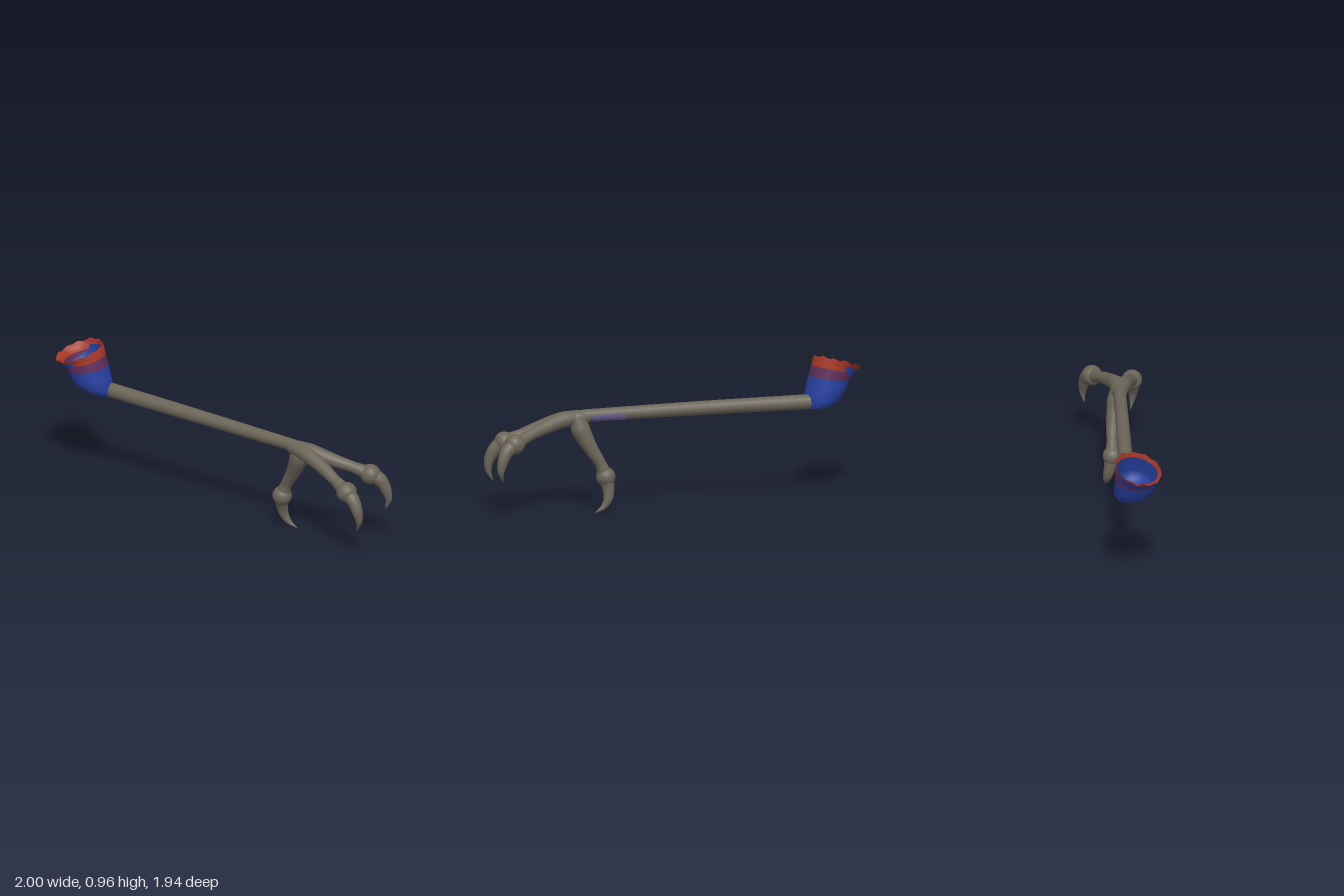
import * as THREE from 'three';

const paint = (name, color, side = THREE.FrontSide) => {
  const m = new THREE.MeshStandardMaterial({ color, side });
  m.name = name;
  return m;
};
const V = (p) => new THREE.Vector3(p[0], p[1], p[2]);

// Tube through [x, y, z, radius] points, with the radius varying along the path
function taperedTube(points, steps = 28, sides = 20) {
  const curve = new THREE.CatmullRomCurve3(points.map(V));
  const geo = new THREE.TubeGeometry(curve, steps, 1, sides);
  const pos = geo.attributes.position, p = new THREE.Vector3();
  for (let i = 0; i <= steps; i++) {
    const c = curve.getPointAt(i / steps);
    const t = curve.getUtoTmapping(i / steps) * (points.length - 1);
    const k = Math.min(Math.floor(t), points.length - 2);
    const r = THREE.MathUtils.lerp(points[k][3], points[k + 1][3], t - k);
    for (let j = 0; j <= sides; j++) {
      const n = i * (sides + 1) + j;
      p.fromBufferAttribute(pos, n).sub(c).multiplyScalar(r).add(c);
      pos.setXYZ(n, p.x, p.y, p.z);
    }
  }
  geo.computeVertexNormals();
  // Join the normals along the lengthwise seam
  const nor = geo.attributes.normal, q = new THREE.Vector3();
  for (let i = 0; i <= steps; i++) {
    const a = i * (sides + 1), b = a + sides;
    p.fromBufferAttribute(nor, a).add(q.fromBufferAttribute(nor, b)).normalize();
    nor.setXYZ(a, p.x, p.y, p.z);
    nor.setXYZ(b, p.x, p.y, p.z);
  }
  return geo;
}

// Skin over tilted rings: [x, y, z, radius, slope along x, raggedness]
function ringLoft(rings, sides = 48) {
  const pos = [], index = [];
  rings.forEach(([x, y, z, r, slope, rag = 0], i) => {
    for (let j = 0; j < sides; j++) {
      const a = (j / sides) * Math.PI * 2;
      const dx = Math.cos(a) * r, dz = Math.sin(a) * r;
      const jag = rag * (Math.sin(a * 12) + 0.5 * Math.sin(a * 7 + 1));
      pos.push(x + dx, y + dx * slope + dz * 0.06 + jag, z + dz);
      if (i < rings.length - 1) {
        const k = i * sides + j, l = i * sides + ((j + 1) % sides);
        index.push(k, k + sides, l, l, k + sides, l + sides);
      }
    }
  });
  const geo = new THREE.BufferGeometry();
  geo.setAttribute('position', new THREE.Float32BufferAttribute(pos, 3));
  geo.setIndex(index);
  geo.computeVertexNormals();
  return geo;
}

export function createModel() {
  const group = new THREE.Group();
  const skin = paint('scaly grey brown', 0x6b6558);
  const blue = paint('blue cuff', 0x2640a0, THREE.DoubleSide);
  const plum = paint('plum cuff', 0x5c2c58, THREE.DoubleSide);
  const red = paint('red cuff', 0xa63626, THREE.DoubleSide);
  const lilac = paint('lilac mark', 0x6a5c96, THREE.DoubleSide);
  const add = (name, geo, mat, parent = group) => {
    const mesh = new THREE.Mesh(geo, mat);
    mesh.name = name;
    parent.add(mesh);
    return mesh;
  };

  // Shin
  const back = [-0.69, 0.65, -0.745, 0.05], front = [0.4, 0.64, 0.42, 0.041];
  add('shin', taperedTube([back, [-0.15, 0.647, -0.165, 0.047], front]), skin);

  // Ankle where the toes meet
  const ankle = add('ankle', new THREE.SphereGeometry(1, 28, 20), skin);
  ankle.scale.set(0.056, 0.052, 0.1);
  ankle.position.set(0.42, 0.627, 0.44);
  ankle.rotation.y = Math.PI / 4;

  // Toes: a fleshy digit, a round knuckle and a curved claw
  const toes = [
    { name: 'leftToe', knuckle: [0.86, 0.51, 0.67, 0.068],
      digit: [[0.38, 0.635, 0.4, 0.042], [0.49, 0.625, 0.495, 0.053], [0.62, 0.588, 0.57, 0.045],
        [0.75, 0.55, 0.625, 0.037], [0.86, 0.51, 0.67, 0.05]],
      claw: [[0.86, 0.51, 0.67, 0.055], [0.925, 0.47, 0.692, 0.045], [0.962, 0.4, 0.705, 0.035],
        [0.975, 0.335, 0.71, 0.022], [0.957, 0.27, 0.705, 0.002]] },
    { name: 'rightToe', knuckle: [0.67, 0.47, 0.855, 0.068],
      digit: [[0.38, 0.635, 0.4, 0.042], [0.465, 0.615, 0.53, 0.053], [0.54, 0.572, 0.645, 0.045],
        [0.61, 0.518, 0.76, 0.037], [0.67, 0.47, 0.855, 0.05]],
      claw: [[0.67, 0.47, 0.855, 0.055], [0.708, 0.42, 0.907, 0.045], [0.73, 0.35, 0.936, 0.035],
        [0.739, 0.285, 0.938, 0.022], [0.73, 0.215, 0.91, 0.002]] },
    { name: 'backToe', knuckle: [0.335, 0.23, 0.275, 0.065],
      digit: [[0.43, 0.635, 0.44, 0.05], [0.423, 0.55, 0.415, 0.064], [0.395, 0.42, 0.35, 0.046],
        [0.36, 0.32, 0.3, 0.037], [0.335, 0.23, 0.275, 0.05]],
      claw: [[0.335, 0.23, 0.275, 0.055], [0.338, 0.155, 0.254, 0.04], [0.352, 0.09, 0.247, 0.032],
        [0.38, 0.038, 0.264, 0.02], [0.43, 0.002, 0.3, 0.002]] },
  ];
  for (const { name, knuckle, digit, claw } of toes) {
    const toe = new THREE.Group();
    toe.name = name;
    group.add(toe);
    add('digit', taperedTube(digit), skin, toe);
    add('claw', taperedTube(claw), skin, toe);
    add('knuckle', new THREE.SphereGeometry(knuckle[3], 24, 18), skin, toe).position.copy(V(knuckle));
  }

  // Thin lilac mark on the side of the shin near the ankle
  const a = V(back), axis = V(front).sub(a);
  const mark = add('shinMark',
    new THREE.CylinderGeometry(0.0445, 0.0455, 0.23, 16, 1, true, Math.PI * 0.43, Math.PI * 0.4), lilac);
  mark.position.copy(a).addScaledVector(axis, 0.89);
  // Local y runs along the shin, local x points down, local z points sideways
  const along = axis.normalize();
  const side = new THREE.Vector3(0, 1, 0).cross(along).normalize();
  const down = new THREE.Vector3().crossVectors(along, side);
  mark.quaternion.setFromRotationMatrix(new THREE.Matrix4().makeBasis(down, along, side));
  // Turn the arc to the lower side facing +x and -z
  const target = new THREE.Vector3(1, -0.75, -1).normalize();
  const turn = Math.atan2(target.dot(down), target.dot(side)) - Math.PI * 0.63;
  mark.rotateY(turn);

  // Hollow cuff: rounded blue cup, plum band, flared red rim with a ragged edge
  const low = [-0.79, 0.795, -0.785, 0.137, 0.16];
  const mid = [-0.808, 0.852, -0.797, 0.138, 0.24];
  const rim = [-0.842, 0.9, -0.816, 0.154, 0.36, 0.006];
  const cuff = new THREE.Group();
  cuff.name = 'cuff';
  group.add(cuff);
  add('cup', ringLoft([[-0.7, 0.605, -0.735, 0.001, 0], [-0.7, 0.607, -0.735, 0.05, -0.1],
    [-0.722, 0.63, -0.747, 0.095, -0.15], [-0.747, 0.67, -0.76, 0.124, -0.05],
    [-0.77, 0.73, -0.773, 0.133, 0.08], low]), blue, cuff);
  add('plumBand', ringLoft([low, mid]), plum, cuff);
  add('redBand', ringLoft([mid, [-0.818, 0.882, -0.803, 0.14, 0.32], rim]), red, cuff);
  const lip = [-0.83, 0.872, -0.811, 0.139, 0.34];
  add('rimLining', ringLoft([rim, lip]), red, cuff);
  add('cupLining', ringLoft([lip, [-0.785, 0.785, -0.785, 0.126, 0.16],
    [-0.762, 0.725, -0.772, 0.115, 0.05], [-0.755, 0.71, -0.768, 0.001, 0]]), blue, cuff);

  return group;
}
